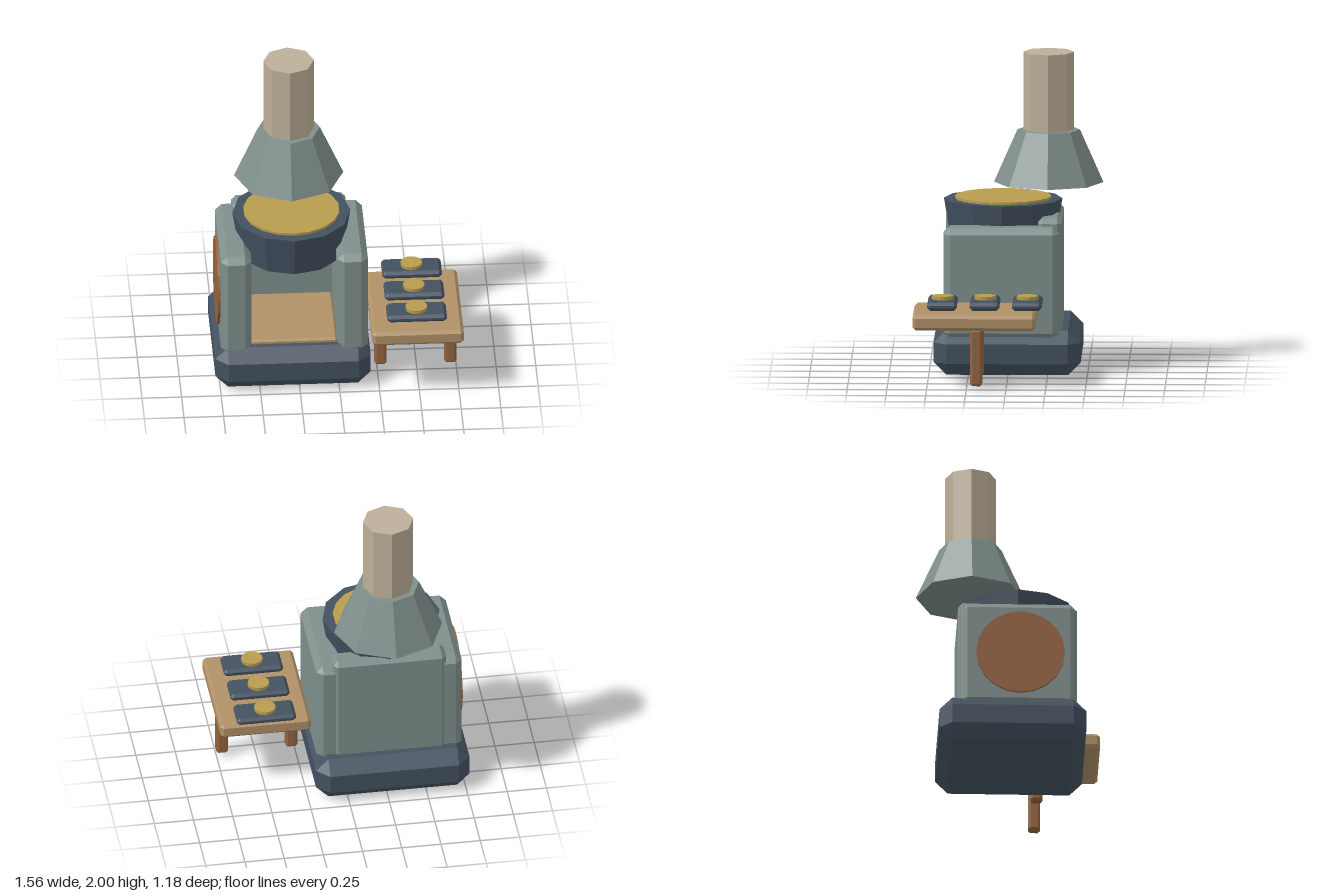
import * as THREE from 'three';
import { ConvexGeometry } from 'three/addons/geometries/ConvexGeometry.js';

function makeMaterial(name, color) {
  const m = new THREE.MeshStandardMaterial({ color, flatShading: true });
  m.name = name;
  return m;
}

// Box with every edge and corner cut by c, given by its min and max per axis
function chamferBox([x0, x1], [y0, y1], [z0, z1], c) {
  const points = [];
  const h = [(x1 - x0) / 2, (y1 - y0) / 2, (z1 - z0) / 2];
  for (const sx of [-1, 1]) for (const sy of [-1, 1]) for (const sz of [-1, 1]) {
    for (let full = 0; full < 3; full++) {
      const p = h.map((v, i) => (i === full ? v : v - c));
      points.push(new THREE.Vector3(p[0] * sx, p[1] * sy, p[2] * sz));
    }
  }
  return new ConvexGeometry(points).translate((x0 + x1) / 2, (y0 + y1) / 2, (z0 + z1) / 2);
}

// Upright cylinder or cone section between two heights
function drum(rTop, rBottom, y0, y1, sides, x, z) {
  return new THREE.CylinderGeometry(rTop, rBottom, y1 - y0, sides).translate(x, (y0 + y1) / 2, z);
}

export function createModel() {
  const model = new THREE.Group();
  model.name = 'forgeStation';

  const navy = makeMaterial('dark iron', 0x435160);
  const slate = makeMaterial('slate grey', 0x7f8f8c);
  const tan = makeMaterial('light wood', 0xb09067);
  const brown = makeMaterial('copper brown', 0x94643f);
  const gold = makeMaterial('dull gold', 0xb89c4f);
  const clay = makeMaterial('pale clay', 0xbdaf99);

  const add = (name, geometry, material, parent = model) => {
    const mesh = new THREE.Mesh(geometry, material);
    mesh.name = name;
    parent.add(mesh);
    return mesh;
  };

  const cx = -0.28; // middle of the furnace

  // Furnace body
  add('base', chamferBox([-0.78, 0.2], [0, 0.285], [-0.457, 0.469], 0.08), navy);
  for (const [name, s] of [['leftWall', 1], ['rightWall', -1]]) {
    const xs = [cx + s * 0.27, cx + s * 0.464].sort((a, b) => a - b);
    add(name, chamferBox(xs, [0.23, 0.94], [-0.323, 0.408], 0.042), slate);
  }
  add('backWall', chamferBox([cx - 0.36, cx + 0.36], [0.23, 0.985], [-0.337, -0.187], 0.03), slate);
  add('hearthPlate', chamferBox([cx - 0.27, cx + 0.27], [0.286, 0.324], [-0.2, 0.378], 0.012), tan);

  // Round plate on the outer side of the right wall
  const plate = new THREE.CylinderGeometry(0.28, 0.28, 0.03, 20).rotateZ(Math.PI / 2);
  add('sidePlate', plate.translate(-0.745, 0.585, 0.052), brown);

  // Bowl with its glowing contents
  add('bowl', drum(0.373, 0.33, 0.8, 1.067, 12, cx, 0.04), navy);
  add('bowlContents', drum(0.304, 0.304, 1.05, 1.083, 18, cx, 0.04), gold);

  // Hood and chimney
  add('hood', drum(0.197, 0.345, 1.17, 1.505, 8, cx, -0.247), slate);
  add('chimney', drum(0.16, 0.16, 1.48, 2, 8, cx, -0.247), clay);

  // Side table
  const table = new THREE.Group();
  table.name = 'sideTable';
  model.add(table);
  add('tableTop', chamferBox([0.2, 0.777], [0.378, 0.475], [-0.186, 0.588], 0.02), tan, table);
  for (const x of [0.272, 0.713]) {
    add('tableLeg', chamferBox([x - 0.038, x + 0.038], [0.022, 0.385], [0.15, 0.225], 0.014), brown, table);
  }

  // Three trays, each with a gold disc
  for (const z of [-0.13, 0.137, 0.405]) {
    add('tray', chamferBox([0.3, 0.676], [0.49, 0.54], [z - 0.093, z + 0.093], 0.018), navy, table);
    add('trayDisc', drum(0.068, 0.068, 0.54, 0.562, 14, 0.487, z), gold, table);
  }

  return model;
}
